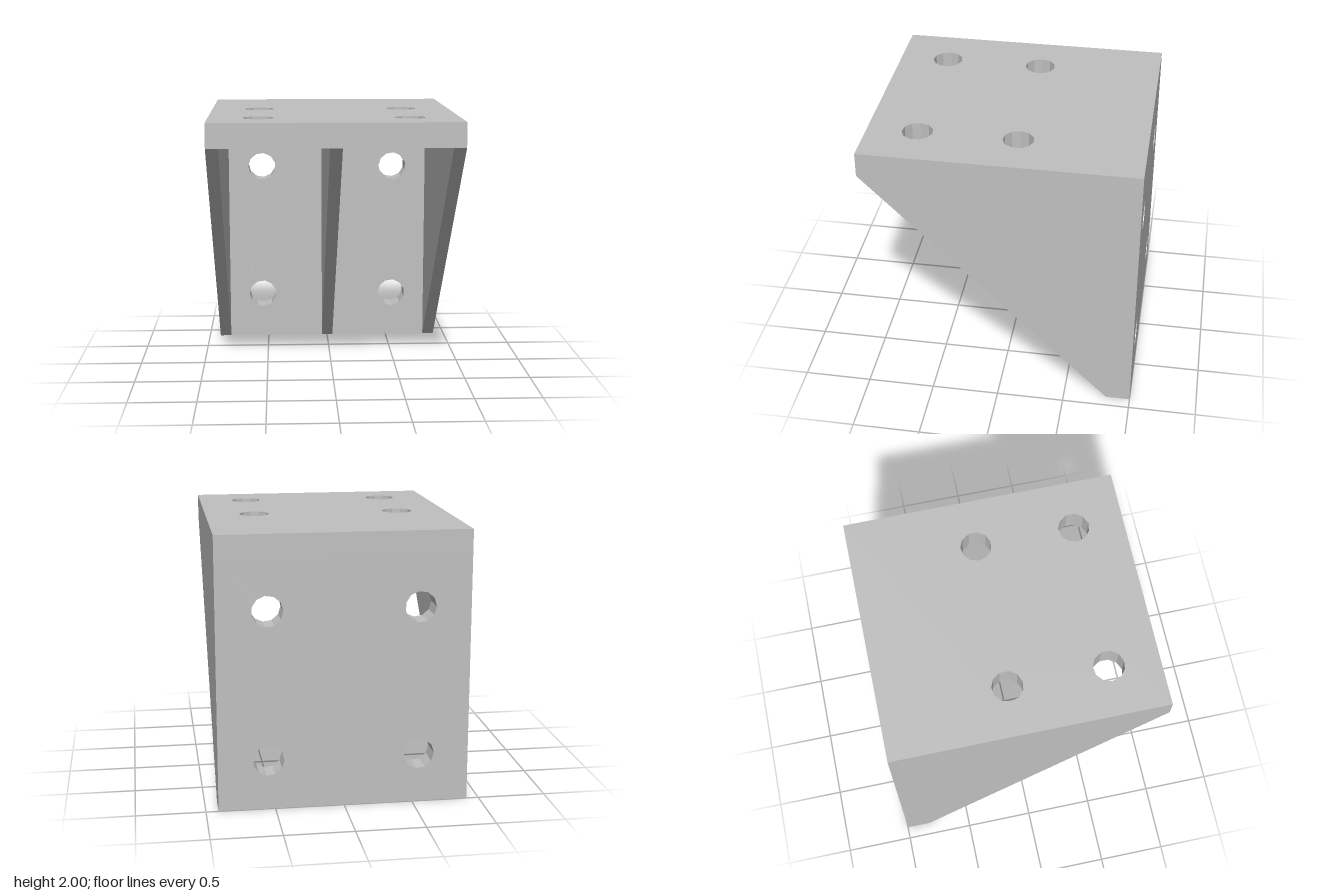
import * as THREE from 'three';

const W = 0.91;      // half width
const T = 0.18;      // plate thickness
const RIB = 0.09;    // rib thickness
const HOLE_R = 0.113;
const HOLE_SIDES = 11;

// Rectangular plate with round bolt holes, extruded along +z
function drilledPlate(y0, y1, holeYs) {
  const shape = new THREE.Shape([
    new THREE.Vector2(-W, y0), new THREE.Vector2(W, y0),
    new THREE.Vector2(W, y1), new THREE.Vector2(-W, y1),
  ]);
  for (const cx of [-0.545, 0.545]) {
    for (const cy of holeYs) {
      const pts = [];
      for (let i = 0; i < HOLE_SIDES; i++) {
        const a = -(i / HOLE_SIDES) * Math.PI * 2 + Math.PI;
        pts.push(new THREE.Vector2(cx + HOLE_R * Math.cos(a), cy + HOLE_R * Math.sin(a)));
      }
      shape.holes.push(new THREE.Path(pts));
    }
  }
  return new THREE.ExtrudeGeometry(shape, { depth: T, bevelEnabled: false });
}

export function createModel() {
  const group = new THREE.Group();
  const grey = new THREE.MeshStandardMaterial({ color: 0xc0c0c0, flatShading: true });
  grey.name = 'grey';

  const add = (name, geometry) => {
    const mesh = new THREE.Mesh(geometry, grey);
    mesh.name = name;
    group.add(mesh);
    return mesh;
  };

  // Upright plate at the back
  add('backPlate', drilledPlate(0, 2 - T, [0.365, 1.455])).position.z = -1;

  // Horizontal plate on top, with holes nearer the front
  const top = drilledPlate(-1, 1, [0.09, -0.635]).rotateX(-Math.PI / 2);
  add('topPlate', top).position.y = 2 - T;

  // Triangular ribs: two outer, one central
  const triangle = new THREE.Shape([
    new THREE.Vector2(-1 + T, 0), new THREE.Vector2(1, 2 - T), new THREE.Vector2(-1 + T, 2 - T),
  ]);
  const ribGeometry = new THREE.ExtrudeGeometry(triangle, { depth: RIB, bevelEnabled: false })
    .translate(0, 0, -RIB / 2)
    .rotateY(-Math.PI / 2);
  const ribs = { rightRib: -W + RIB / 2, middleRib: 0, leftRib: W - RIB / 2 };
  for (const [name, x] of Object.entries(ribs)) add(name, ribGeometry).position.x = x;

  return group;
}
